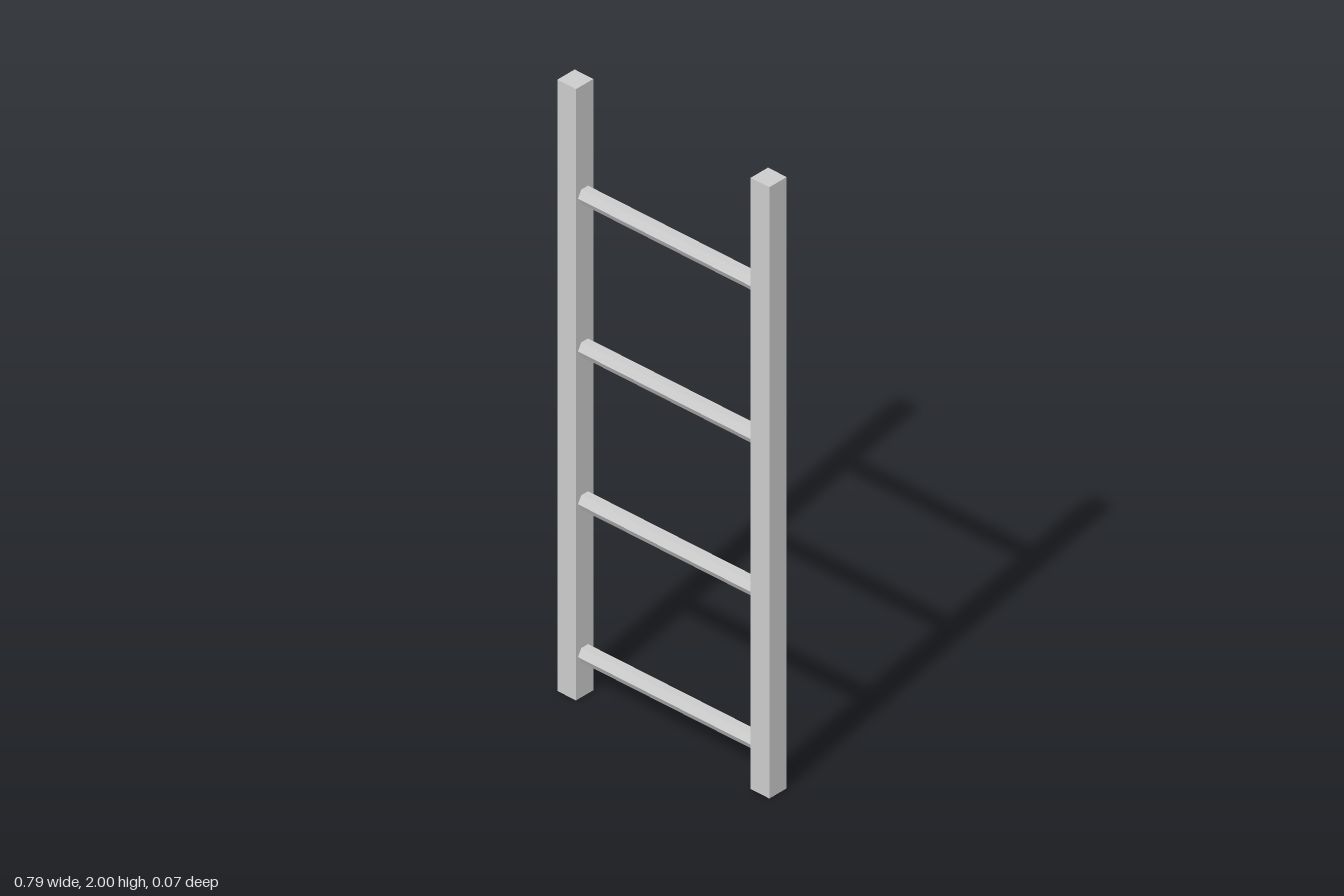
import * as THREE from 'three';

export function createModel() {
  const group = new THREE.Group();
  group.name = 'ladder';
  const material = new THREE.MeshStandardMaterial({ color: 0xcccccc, flatShading: true });

  const railSize = 0.07;
  const railX = 0.362;

  // Two square upright rails
  const railGeometry = new THREE.BoxGeometry(railSize, 2, railSize);
  for (const side of [-1, 1]) {
    const rail = new THREE.Mesh(railGeometry, material);
    rail.name = side > 0 ? 'leftRail' : 'rightRail';
    rail.position.set(side * railX, 1, 0);
    group.add(rail);
  }

  // Four hexagonal rungs, with flat faces up and down, ending at the rails
  const rungGeometry = new THREE.CylinderGeometry(0.027, 0.027, 2 * railX - railSize, 6);
  rungGeometry.rotateZ(Math.PI / 2);
  for (let i = 0; i < 4; i++) {
    const rung = new THREE.Mesh(rungGeometry, material);
    rung.name = `rung${i + 1}`;
    rung.position.y = 0.138 + i * 0.5;
    group.add(rung);
  }

  return group;
}
